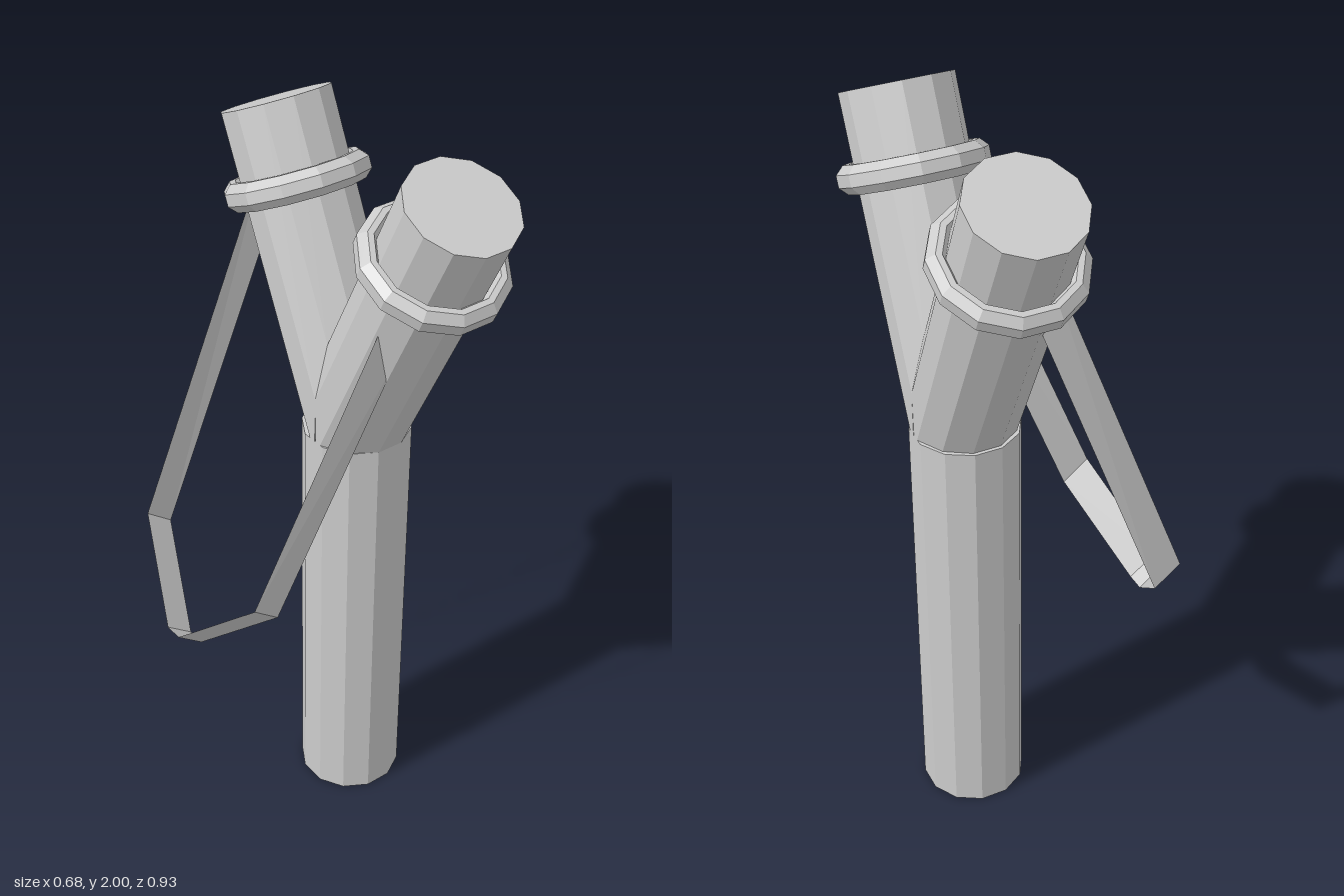
import * as THREE from 'three';

const R = 0.14, SIDES = 12, OFFSET = Math.PI / 12; // flats face the axes
const TILT = THREE.MathUtils.degToRad(25.5);
const TIP = { y: 1.945, z: 0.341 };

// Forked branch: a tilted cylinder whose foot is cut flat and stops at the z = 0 plane
function branchGeometry() {
  const len = 0.85;
  const g = new THREE.CylinderGeometry(R, R, len, SIDES, 1, false, OFFSET);
  g.translate(0, -len / 2, 0);
  const p = g.attributes.position;
  const isFoot = Array.from({ length: p.count }, (_, i) => p.getY(i) < -len / 2);
  g.rotateX(TILT).translate(0, TIP.y, TIP.z);
  const slope = Math.tan(TILT);
  for (let i = 0; i < p.count; i++) {
    if (!isFoot[i]) continue;
    let y = 1.15;
    let z = p.getZ(i) + (y - p.getY(i)) * slope;
    if (z < 0) {
      y -= z / slope;
      z = 0;
    }
    p.setXYZ(i, p.getX(i), y, z);
  }
  g.computeVertexNormals();
  return g;
}

// Bevelled collar round a branch
function collarGeometry() {
  const profile = [
    [0.13, -0.035], [0.165, -0.035], [0.185, -0.015], [0.185, 0.015],
    [0.165, 0.035], [0.15, 0.035], [0.138, 0.015],
  ].map(([r, y]) => new THREE.Vector2(r, y));
  return new THREE.LatheGeometry(profile, SIDES, OFFSET);
}

// Flat elastic strip: one edge path, with the other edge offset across the width
function bandGeometry() {
  const upper = [
    [0.06, 1.70, 0.242], [-0.255, 0.86, 0.125], [-0.345, 0.66, -0.10],
    [-0.345, 0.66, -0.15], [-0.255, 0.86, -0.37], [0.11, 1.83, -0.315],
  ];
  const lower = upper.map(([x, y, z]) => [x + 0.07, y - 0.055, z]);
  lower[0] = [0.085, 1.537, 0.235];
  lower[5] = [0.13, 1.66, -0.315];
  const index = [];
  for (let i = 0; i < upper.length - 1; i++) {
    const a = 2 * i;
    index.push(a, a + 1, a + 2, a + 1, a + 3, a + 2);
  }
  const g = new THREE.BufferGeometry();
  g.setAttribute('position', new THREE.Float32BufferAttribute(
    upper.flatMap((u, i) => [...u, ...lower[i]]), 3));
  g.setIndex(index);
  g.computeVertexNormals();
  return g;
}

export function createModel() {
  const model = new THREE.Group();
  model.name = 'slingshot';
  const grey = new THREE.MeshStandardMaterial({
    color: 0xcccccc, flatShading: true, side: THREE.DoubleSide,
  });
  grey.name = 'light grey';

  const add = (parent, name, geometry) => {
    const mesh = new THREE.Mesh(geometry, grey);
    mesh.name = name;
    parent.add(mesh);
    return mesh;
  };

  // Straight handle
  const handle = add(model, 'handle',
    new THREE.CylinderGeometry(R, R, 1.19, SIDES, 1, false, OFFSET));
  handle.position.set(0.16, 0.595, -0.005);

  // Front and back branches, each with a collar below the tip
  const branch = branchGeometry(), collar = collarGeometry();
  [['front', 0], ['back', Math.PI]].forEach(([side, turn]) => {
    const fork = new THREE.Group();
    fork.name = side + 'Fork';
    fork.position.x = 0.16;
    fork.rotation.y = turn;
    add(fork, side + 'Branch', branch);
    const ring = add(fork, side + 'Collar', collar);
    ring.position.set(0, TIP.y - 0.2 * Math.cos(TILT), TIP.z - 0.2 * Math.sin(TILT));
    ring.rotation.x = TILT;
    model.add(fork);
  });

  // Elastic strip hanging off the right side
  add(model, 'elasticBand', bandGeometry());
  return model;
}
